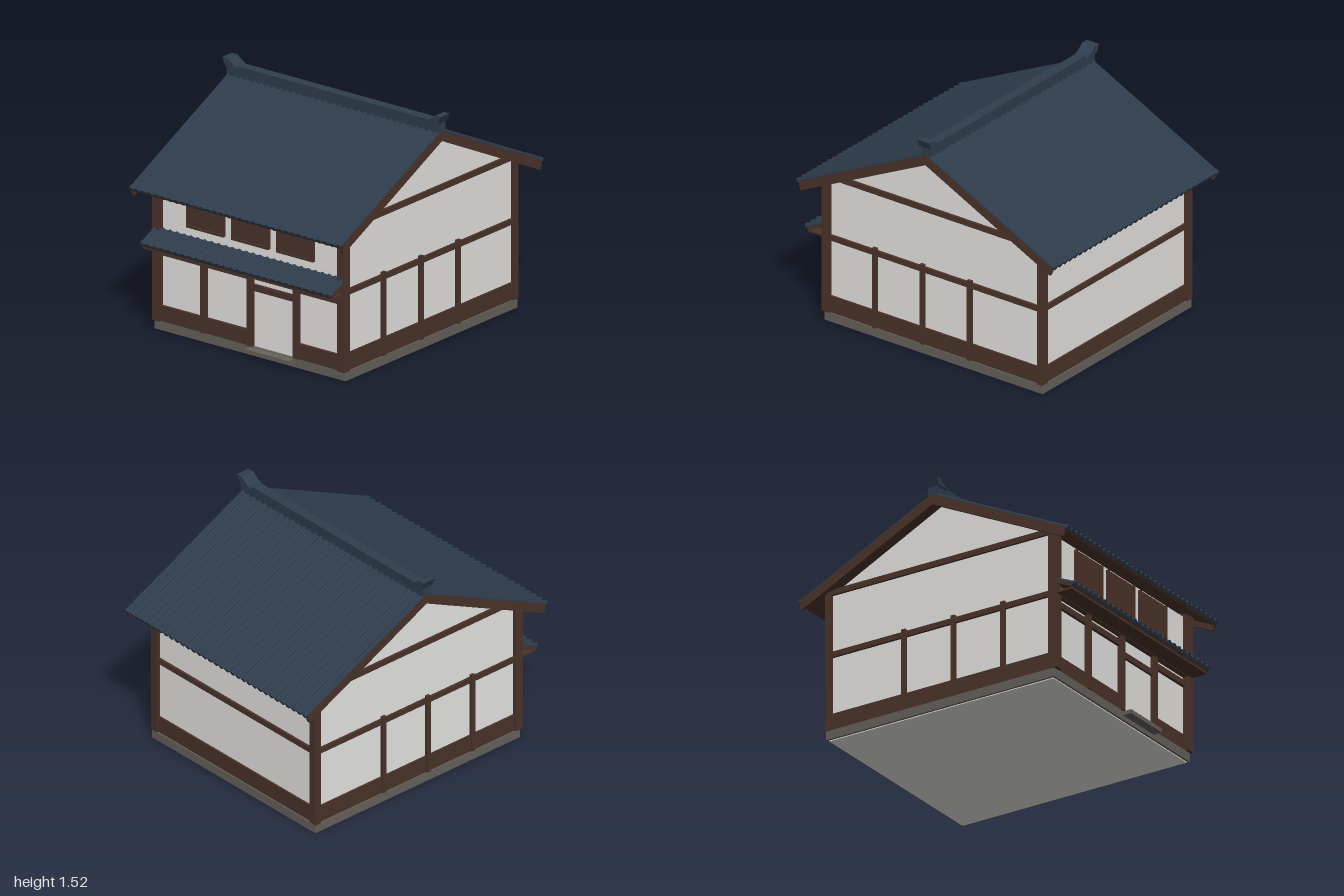
import * as THREE from 'three';

const mat = (name, color) => {
  const m = new THREE.MeshStandardMaterial({ color });
  m.name = name;
  return m;
};

export function createModel() {
  const house = new THREE.Group();
  house.name = 'townhouse';
  const plaster = mat('plaster', 0xebeae8);
  const timber = mat('dark timber', 0x4a332a);
  const slate = mat('slate tile', 0x2f3d4d);
  const stone = mat('stone', 0x66625c);

  const add = (parent, name, geometry, material) => {
    const mesh = new THREE.Mesh(geometry, material);
    mesh.name = name;
    parent.add(mesh);
    return mesh;
  };
  // box given by its lower and upper limits on each axis
  const box = (parent, name, material, x0, x1, y0, y1, z0, z1) => {
    const m = add(parent, name, new THREE.BoxGeometry(x1 - x0, y1 - y0, z1 - z0), material);
    m.position.set((x0 + x1) / 2, (y0 + y1) / 2, (z0 + z1) / 2);
    return m;
  };
  // flat outline extruded and centred along its depth
  const prism = (points, depth) => {
    const shape = new THREE.Shape(points.map(([x, y]) => new THREE.Vector2(x, y)));
    return new THREE.ExtrudeGeometry(shape, { depth, bevelEnabled: false }).translate(0, 0, -depth / 2);
  };

  // stone base, pale floor showing beneath it, and door step
  box(house, 'foundation', stone, -0.75, 0.75, 0.006, 0.065, -0.84, 0.84);
  box(house, 'floorUnderside', plaster, -0.735, 0.735, 0, 0.008, -0.825, 0.825);
  box(house, 'doorStep', stone, 0.01, 0.35, 0.035, 0.062, 0.83, 0.9);

  // plaster body with gable ends
  const body = add(house, 'plasterWalls', prism(
    [[-0.82, 0.06], [0.82, 0.06], [0.82, 0.975], [0, 1.375], [-0.82, 0.975]], 1.46), plaster);
  body.rotation.y = Math.PI / 2;

  // side framing, mirrored
  for (const s of [-1, 1]) {
    const side = (name, y0, y1, z0, z1, out) => {
      const a = s * 0.72, b = s * out;
      box(house, name, timber, Math.min(a, b), Math.max(a, b), y0, y1, z0, z1);
    };
    side('sideSkirting', 0.065, 0.178, -0.82, 0.82, 0.742);
    side('sideRail', 0.558, 0.595, -0.82, 0.82, 0.746);
    side('gableBeam', 0.977, 1.015, -0.8, 0.8, 0.746);
    for (const z of [0.458, 0.092, -0.272]) side('sidePost', 0.065, 0.61, z - 0.015, z + 0.015, 0.752);
    const x0 = s > 0 ? 0.7 : -0.755;
    box(house, 'frontCornerPost', timber, x0, x0 + 0.055, 0.065, 1.0, 0.8, 0.86);
    box(house, 'backCornerPost', timber, x0, x0 + 0.055, 0.065, 1.0, -0.843, -0.8);
  }

  // back framing
  box(house, 'backSkirting', timber, -0.71, 0.71, 0.065, 0.175, -0.832, -0.81);
  box(house, 'backRail', timber, -0.71, 0.71, 0.558, 0.595, -0.836, -0.81);

  // ground floor front
  for (const x of [-0.365, 0, 0.36]) box(house, 'frontPost', timber, x - 0.02, x + 0.02, 0.065, 0.57, 0.81, 0.85);
  for (const [x0, x1] of [[-0.7, -0.385], [-0.345, -0.02], [0.38, 0.7]]) {
    box(house, 'frontSkirting', timber, x0, x1, 0.065, 0.165, 0.81, 0.84);
    box(house, 'frontRail', timber, x0, x1, 0.495, 0.535, 0.81, 0.84);
  }
  box(house, 'doorLintel', timber, 0.02, 0.34, 0.43, 0.47, 0.81, 0.842);
  box(house, 'doorPanel', plaster, 0.027, 0.333, 0.065, 0.43, 0.818, 0.826);
  box(house, 'frontBeam', timber, -0.75, 0.75, 0.562, 0.595, 0.81, 0.855);

  // upper shuttered windows
  for (const x of [-0.355, -0.002, 0.35]) {
    box(house, 'windowShutter', timber, x - 0.135, x + 0.135, 0.735, 0.96, 0.815, 0.832);
    box(house, 'windowSill', timber, x - 0.145, x + 0.145, 0.722, 0.736, 0.815, 0.842);
    for (const s of [-1, 1]) {
      const c = x + s * 0.14;
      box(house, 'windowJamb', timber, c - 0.005, c + 0.005, 0.736, 0.96, 0.815, 0.842);
    }
  }

  // one tiled slope: local z runs down the slope, local y is its normal
  const tiledSlope = (name, halfWidth, length, count, radius) => {
    const g = new THREE.Group();
    g.name = name;
    box(g, 'tileBed', slate, -halfWidth, halfWidth, -0.017, -0.011, 0, length - 0.005);
    box(g, 'roofDeck', timber, -halfWidth - 0.001, halfWidth + 0.001, -0.04, -0.017, 0, length - 0.012);
    const roll = new THREE.CylinderGeometry(radius, radius, length, 8).rotateX(Math.PI / 2);
    const cap = new THREE.CylinderGeometry(radius + 0.004, radius + 0.004, 0.025, 10).rotateX(Math.PI / 2);
    const span = halfWidth - radius - 0.004;
    for (let i = 0; i < count; i++) {
      const x = -span + (2 * span * i) / (count - 1);
      add(g, 'tileRoll', roll, slate).position.set(x, -0.013, length / 2);
      add(g, 'eaveCap', cap, slate).position.set(x, -0.014, length - 0.0125);
    }
    return g;
  };

  // main roof, two slopes with barge boards
  for (const turn of [0, Math.PI]) {
    const half = new THREE.Group();
    half.name = turn ? 'backRoof' : 'frontRoof';
    half.rotation.y = turn;
    const slope = tiledSlope('roofSlope', 0.833, 1.109, 33, 0.013);
    slope.position.y = 1.437;
    slope.rotation.x = Math.atan(0.484);
    for (const s of [-1, 1]) {
      box(slope, 'bargeBoard', timber, s * 0.824 - 0.009, s * 0.824 + 0.009, -0.077, -0.038, 0, 1.104);
    }
    half.add(slope);
    house.add(half);
  }

  // ridge with upturned ends
  box(house, 'ridge', slate, -0.832, 0.832, 1.4, 1.484, -0.034, 0.034);
  for (const s of [-1, 1]) {
    const end = add(house, 'ridgeEnd', prism(
      [[0.735, 1.474], [0.832, 1.47], [0.856, 1.524], [0.812, 1.524], [0.765, 1.488]], 0.094), slate);
    if (s < 0) end.rotation.y = Math.PI;
  }

  // pent roof over the ground floor
  const pent = tiledSlope('pentRoof', 0.75, 0.168, 28, 0.013);
  pent.position.set(0, 0.68, 0.842);
  pent.rotation.x = Math.atan(0.45);
  house.add(pent);
  box(house, 'pentSoffit', timber, -0.745, 0.745, 0.566, 0.58, 0.84, 0.967);

  return house;
}
